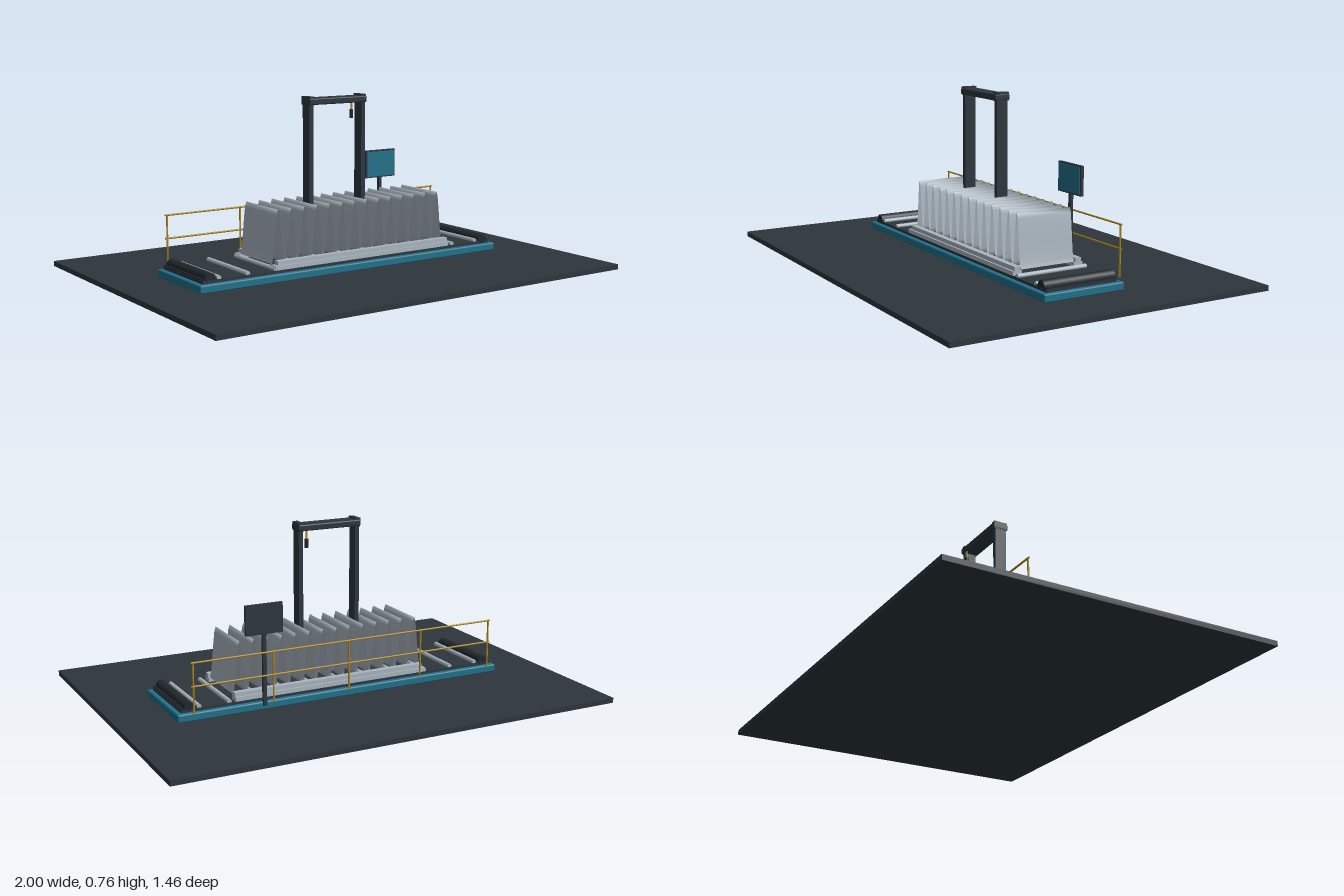
import * as THREE from 'three';
import { RoundedBoxGeometry } from 'three/addons/geometries/RoundedBoxGeometry.js';

export function createModel() {
  const model = new THREE.Group();
  const mat = (name, color, extra = {}) => {
    const m = new THREE.MeshStandardMaterial({ color, ...extra });
    m.name = name;
    return m;
  };
  const dark = mat('charcoal', 0x2d363d);
  const black = mat('black rubber', 0x22282d);
  const teal = mat('teal', 0x22718b);
  const steel = mat('steel', 0xaab6c0);
  const sheet = mat('sheet steel', 0xaab6c0, { side: THREE.DoubleSide });
  const gold = mat('safety yellow', 0xb08a1e);
  const purple = mat('purple', 0x8566cf);
  const navy = mat('navy', 0x34406e);

  const add = (name, geo, material, x, y, z) => {
    const m = new THREE.Mesh(geo, material);
    m.name = name;
    m.position.set(x, y, z);
    model.add(m);
    return m;
  };
  // Box given by its limits on each axis
  const box = (name, material, x0, x1, y0, y1, z0, z1) =>
    add(name, new THREE.BoxGeometry(x1 - x0, y1 - y0, z1 - z0), material,
      (x0 + x1) / 2, (y0 + y1) / 2, (z0 + z1) / 2);
  // Cylinder along a chosen axis
  const rod = (name, material, r, len, axis, x, y, z, sides = 12) => {
    const g = new THREE.CylinderGeometry(r, r, len, sides);
    if (axis === 'x') g.rotateZ(Math.PI / 2);
    if (axis === 'z') g.rotateX(Math.PI / 2);
    return add(name, g, material, x, y, z);
  };

  // Floor slab, plinth and deck
  box('floor', dark, -1, 1, 0, 0.022, -0.73, 0.73);
  add('plinth', new RoundedBoxGeometry(1.53, 0.034, 0.376, 2, 0.006), teal, 0, 0.039, 0);
  box('deck', dark, -0.745, 0.745, 0.05, 0.068, -0.167, 0.167);

  // End drums and conveyor rollers
  for (const s of [-1, 1]) {
    rod('endDrum', black, 0.024, 0.334, 'z', s * 0.708, 0.074, 0, 20);
    box('drumBed', black, s * 0.708 - 0.034, s * 0.708 + 0.034, 0.06, 0.074, -0.165, 0.165);
  }
  for (let i = 0; i < 11; i++)
    rod('roller', steel, 0.01, 0.33, 'z', -0.668 + i * 0.1333, 0.073, 0);

  // Side rails of the bed
  for (const s of [-1, 1]) {
    const z = s * 0.147;
    box('lowerRail', steel, -0.405, 0.505, 0.068, 0.086, z - 0.021, z + 0.021);
    box('upperRail', steel, -0.39, 0.505, 0.086, 0.104, z - 0.013, z + 0.013);
  }

  // Pleated sheet: a steep wave swept across the bed
  const waves = 14, steps = waves * 10;
  const pleats = new THREE.PlaneGeometry(0.9, 0.256, steps, 1);
  pleats.rotateX(-Math.PI / 2);
  const p = pleats.attributes.position;
  for (let i = 0; i < p.count; i++) {
    const t = (p.getX(i) + 0.45) / 0.9;
    p.setY(i, 0.2 - 0.112 * Math.cos(t * waves * Math.PI * 2));
  }
  pleats.computeVertexNormals();
  add('pleatedSheet', pleats, sheet, 0.05, 0, 0);

  // Press block with two knobs and a crossbar on a post
  box('pressBlock', purple, -0.072, 0.072, 0.1, 0.185, -0.05, 0.05);
  for (const s of [-1, 1]) {
    rod('knob', navy, 0.02, 0.03, 'y', s * 0.033, 0.197, 0, 16);
    rod('knobTop', navy, 0.01, 0.02, 'y', s * 0.033, 0.22, 0);
  }
  rod('pressPost', steel, 0.008, 0.085, 'y', 0, 0.222, 0);
  box('pressBar', dark, -0.105, 0.105, 0.261, 0.273, -0.025, 0.025);

  // Portal gate
  for (const s of [-1, 1]) {
    box('gateLeg', dark, s * 0.135 - 0.01, s * 0.135 + 0.01, 0.068, 0.745, -0.026, 0.026);
    box('gateCap', dark, s * 0.135 - 0.012, s * 0.135 + 0.012, 0.722, 0.758, -0.031, 0.031);
  }
  add('gateBeam', new RoundedBoxGeometry(0.296, 0.028, 0.072, 2, 0.006), dark, 0, 0.737, 0);
  rod('lampStem', gold, 0.004, 0.05, 'y', 0.11, 0.705, -0.028);
  rod('lamp', black, 0.008, 0.038, 'y', 0.11, 0.67, -0.028);

  // Display panel on a post
  box('panelPost', dark, 0.376, 0.392, 0.04, 0.36, -0.196, -0.182);
  box('panelFrame', dark, 0.301, 0.467, 0.348, 0.475, -0.195, -0.181);
  box('panelScreen', teal, 0.307, 0.461, 0.354, 0.469, -0.181, -0.178);

  // Guard rail along the back
  for (const y of [0.175, 0.274])
    rod('guardRail', gold, 0.004, 1.426, 'x', 0, y, -0.209, 8);
  for (let i = -2; i <= 2; i++)
    rod('guardPost', gold, 0.004, 0.218, 'y', i * 0.352, 0.167, -0.209, 8);

  return model;
}
